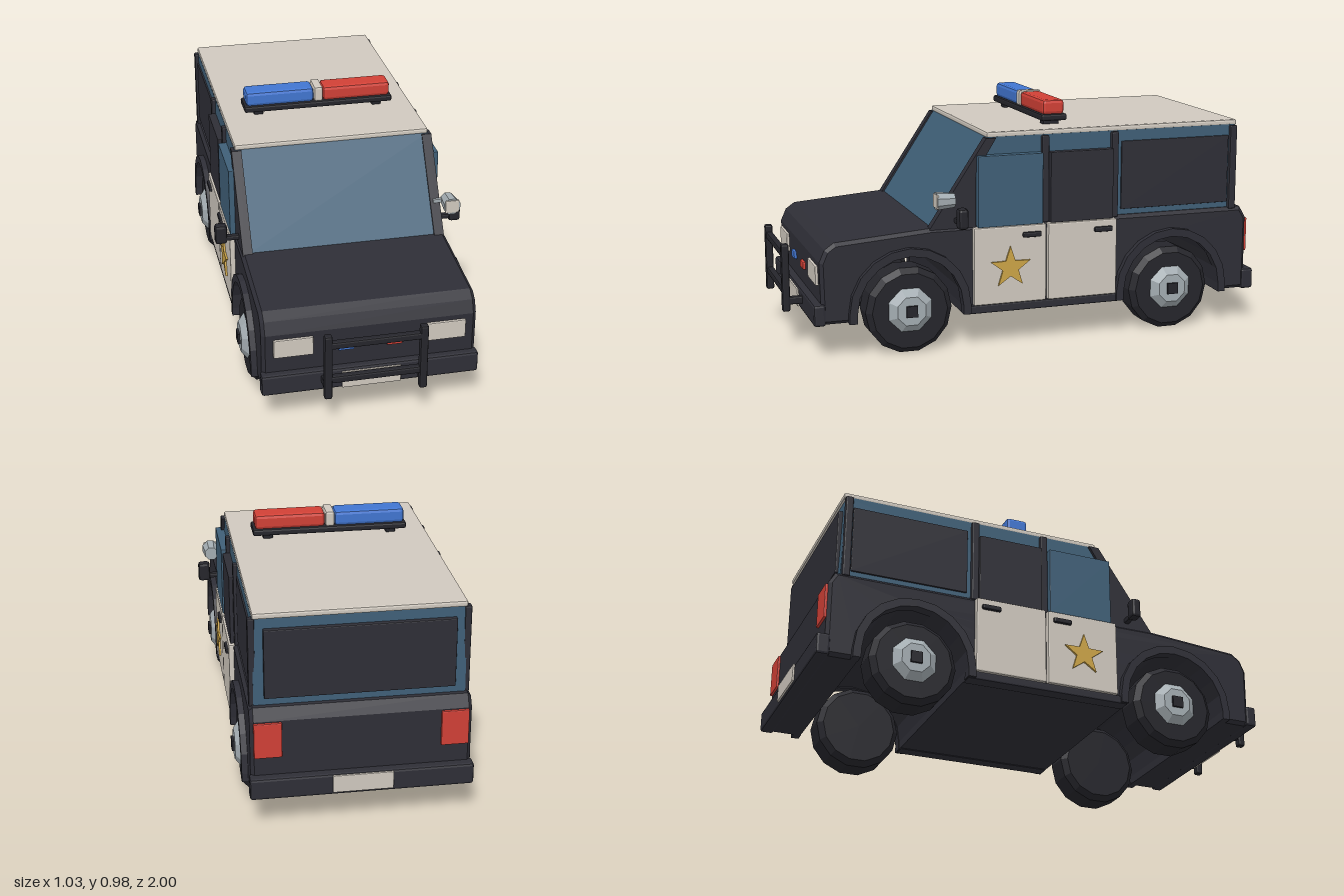
import * as THREE from 'three';
import { RoundedBoxGeometry } from 'three/addons/geometries/RoundedBoxGeometry.js';

const material = (name, color) => {
  const m = new THREE.MeshStandardMaterial({ color });
  m.name = name;
  return m;
};

// Faceted normals for any geometry
const facet = (g) => {
  const flat = g.index ? g.toNonIndexed() : g;
  flat.computeVertexNormals();
  return flat;
};

export function createModel() {
  const paint = material('dark paint', 0x2e2e36);
  const rubber = material('black rubber', 0x25252b);
  const cream = material('cream', 0xcfc8be);
  const glass = material('tinted glass', 0x3f5f77);
  const silver = material('silver', 0xa3acb1);
  const gold = material('gold', 0xcca446);
  const red = material('red lamp', 0xd04036);
  const blue = material('blue lamp', 0x4175d0);

  const car = new THREE.Group();
  car.name = 'patrolCar';

  const add = (name, geometry, mat, x = 0, y = 0, z = 0) => {
    const mesh = new THREE.Mesh(geometry, mat);
    mesh.name = name;
    mesh.position.set(x, y, z);
    car.add(mesh);
    return mesh;
  };

  // Chamfered box given by its limits on each axis
  const box = (name, mat, [x0, x1], [y0, y1], [z0, z1], chamfer = 0.006) => {
    const w = x1 - x0, h = y1 - y0, d = z1 - z0;
    const g = chamfer > 0
      ? facet(new RoundedBoxGeometry(w, h, d, 1, Math.min(chamfer, w / 2.5, h / 2.5, d / 2.5)))
      : new THREE.BoxGeometry(w, h, d);
    return add(name, g, mat, (x0 + x1) / 2, (y0 + y1) / 2, (z0 + z1) / 2);
  };

  // The same box on both sides of the car
  const pair = (name, mat, [x0, x1], ys, zs, chamfer) => {
    box(name + 'Left', mat, [x0, x1], ys, zs, chamfer);
    box(name + 'Right', mat, [-x1, -x0], ys, zs, chamfer);
  };

  // Side outline in (z, y), extruded across the car
  const sideProfile = (points, width, bevel = 0) => {
    const shape = new THREE.Shape(points.map(([z, y]) => new THREE.Vector2(z, y)));
    const g = new THREE.ExtrudeGeometry(shape, {
      depth: width - 2 * bevel, bevelEnabled: bevel > 0, bevelSize: bevel,
      bevelThickness: bevel, bevelOffset: -bevel, bevelSegments: 1,
    });
    g.translate(0, 0, -(width - 2 * bevel) / 2);
    g.rotateY(-Math.PI / 2);
    return g;
  };

  // Arch points running from the front of the wheel to its back
  const axles = [0.53, -0.6];
  const arch = (zc, rz, ry, steps = 10) => {
    const pts = [[zc + rz, 0.15]];
    for (let i = 0; i <= steps; i++) {
      const a = (Math.PI * i) / steps;
      pts.push([zc + rz * Math.cos(a), 0.185 + ry * Math.sin(a)]);
    }
    pts.push([zc - rz, 0.15]);
    return pts;
  };

  // Lower body with open wheel arches
  add('body', sideProfile([
    [0.885, 0.15], ...arch(axles[0], 0.22, 0.225), ...arch(axles[1], 0.22, 0.225),
    [-0.953, 0.15], [-0.953, 0.46], [-0.925, 0.507], [0.44, 0.507],
    [0.83, 0.477], [0.868, 0.45], [0.89, 0.4],
  ], 0.85, 0.014), paint);

  // Cabin and roof
  add('cabinGlass', sideProfile(
    [[0.435, 0.5], [0.198, 0.86], [-0.895, 0.86], [-0.905, 0.5]], 0.81), glass);
  box('roof', cream, [-0.405, 0.405], [0.855, 0.88], [-0.905, 0.2], 0.008);
  for (const s of [1, -1]) {
    add('windscreenPillar', sideProfile(
      [[0.445, 0.5], [0.207, 0.857], [0.165, 0.857], [0.25, 0.72], [0.25, 0.5]], 0.04), paint, s * 0.398);
  }
  for (const z of [-0.045, -0.348, -0.885]) {
    pair('sidePillar', paint, [0.395, 0.422], [0.5, 0.857], [z - 0.016, z + 0.016]);
  }
  pair('frontDoorWindow', glass, [0.4, 0.44], [0.5, 0.79], [-0.028, 0.247], 0.003);
  pair('rearDoorWindow', paint, [0.4, 0.437], [0.5, 0.79], [-0.335, -0.062], 0.003);
  pair('cargoPanel', paint, [0.4, 0.412], [0.53, 0.815], [-0.865, -0.38], 0.003);
  box('tailgatePanel', paint, [-0.365, 0.365], [0.535, 0.815], [-0.916, -0.89], 0.004);

  // Doors, handles and sills
  pair('frontDoor', cream, [0.39, 0.446], [0.18, 0.5], [-0.041, 0.267]);
  pair('rearDoor', cream, [0.39, 0.446], [0.18, 0.5], [-0.35, -0.049]);
  pair('frontDoorHandle', rubber, [0.44, 0.457], [0.45, 0.472], [-0.018, 0.062]);
  pair('rearDoorHandle', rubber, [0.44, 0.457], [0.45, 0.472], [-0.328, -0.248]);
  pair('sill', paint, [0.38, 0.44], [0.145, 0.18], [-0.38, 0.31]);

  // Star badges on the front doors
  const star = [];
  for (let i = 0; i < 10; i++) {
    const a = Math.PI / 2 + (i * Math.PI) / 5, r = i % 2 ? 0.035 : 0.088;
    star.push([0.115 + r * Math.cos(a), 0.33 + r * Math.sin(a)]);
  }
  for (const s of [1, -1]) add('doorStar', sideProfile(star, 0.009), gold, s * 0.45);

  // Wheel parts: tyre, silver cap, square hub; all turned about the x axis
  const tyreGeometry = new THREE.LatheGeometry(
    [[0, -0.072], [0.155, -0.072], [0.178, -0.05], [0.178, 0.05], [0.155, 0.072], [0, 0.072]]
      .map(([r, h]) => new THREE.Vector2(r, h)), 14);
  const tyre = facet(tyreGeometry.rotateZ(-Math.PI / 2));
  const cap = facet(new THREE.CylinderGeometry(0.062, 0.1, 0.03, 8).rotateY(Math.PI / 8).rotateZ(-Math.PI / 2));
  for (const z of axles) {
    for (const s of [1, -1]) {
      add('tyre', tyre, rubber, s * 0.358, 0.18, z);
      add('wheelCap', cap, silver, s * 0.441, 0.185, z).rotation.y = s > 0 ? 0 : Math.PI;
      add('wheelHub', new THREE.BoxGeometry(0.02, 0.046, 0.046), rubber, s * 0.456, 0.185, z);
      // Fender flare
      const flare = [...arch(z, 0.25, 0.255), ...arch(z, 0.218, 0.222).reverse()];
      add('fenderFlare', sideProfile(flare, 0.045), paint, s * 0.427);
    }
  }

  // Bumpers, number plates and lamps
  box('frontBumper', paint, [-0.432, 0.432], [0.147, 0.235], [0.87, 0.918], 0.01);
  box('rearBumper', paint, [-0.432, 0.432], [0.147, 0.235], [-0.99, -0.935], 0.01);
  box('frontPlate', cream, [-0.117, 0.117], [0.15, 0.222], [0.915, 0.925], 0.003);
  box('rearPlate', cream, [-0.117, 0.117], [0.16, 0.232], [-0.998, -0.988], 0.003);
  pair('headlight', cream, [0.225, 0.38], [0.302, 0.38], [0.87, 0.9], 0.004);
  pair('tailLight', red, [0.305, 0.412], [0.31, 0.455], [-0.963, -0.94], 0.004);
  box('grilleLampBlue', blue, [-0.127, -0.065], [0.305, 0.336], [0.87, 0.9], 0.004);
  box('grilleLampRed', red, [0.065, 0.127], [0.305, 0.336], [0.87, 0.9], 0.004);

  // Push bar
  pair('pushBarPost', rubber, [0.171, 0.203], [0.155, 0.435], [0.968, 1.0], 0.008);
  pair('pushBarBracket', rubber, [0.174, 0.2], [0.183, 0.215], [0.9, 0.98]);
  for (const y of [0.39, 0.238]) {
    box('pushBarRail', rubber, [-0.18, 0.18], [y - 0.015, y + 0.015], [0.968, 0.996], 0.007);
  }

  // Wing mirrors
  pair('mirrorArm', rubber, [0.39, 0.48], [0.523, 0.545], [0.318, 0.342]);
  pair('mirror', rubber, [0.465, 0.515], [0.513, 0.597], [0.308, 0.35], 0.012);

  // Spotlight on the left pillar
  const lampBody = new THREE.CylinderGeometry(0.037, 0.03, 0.075, 8).rotateY(Math.PI / 8).rotateX(Math.PI / 2);
  add('spotlight', facet(lampBody), silver, 0.453, 0.625, 0.39);
  box('spotlightLens', cream, [0.424, 0.482], [0.597, 0.653], [0.42, 0.431], 0.004);
  box('spotlightStem', silver, [0.39, 0.43], [0.617, 0.633], [0.35, 0.368], 0.003);

  // Roof light bar
  pair('lightBarFoot', rubber, [0.235, 0.275], [0.875, 0.902], [-0.155, -0.085]);
  box('lightBarBase', rubber, [-0.318, 0.318], [0.898, 0.926], [-0.175, -0.063], 0.008);
  box('lightBarRed', red, [0.02, 0.309], [0.922, 0.984], [-0.166, -0.072], 0.014);
  box('lightBarBlue', blue, [-0.309, -0.02], [0.922, 0.984], [-0.166, -0.072], 0.014);
  box('lightBarCentre', cream, [-0.019, 0.019], [0.922, 0.988], [-0.17, -0.068], 0.01);

  return car;
}
